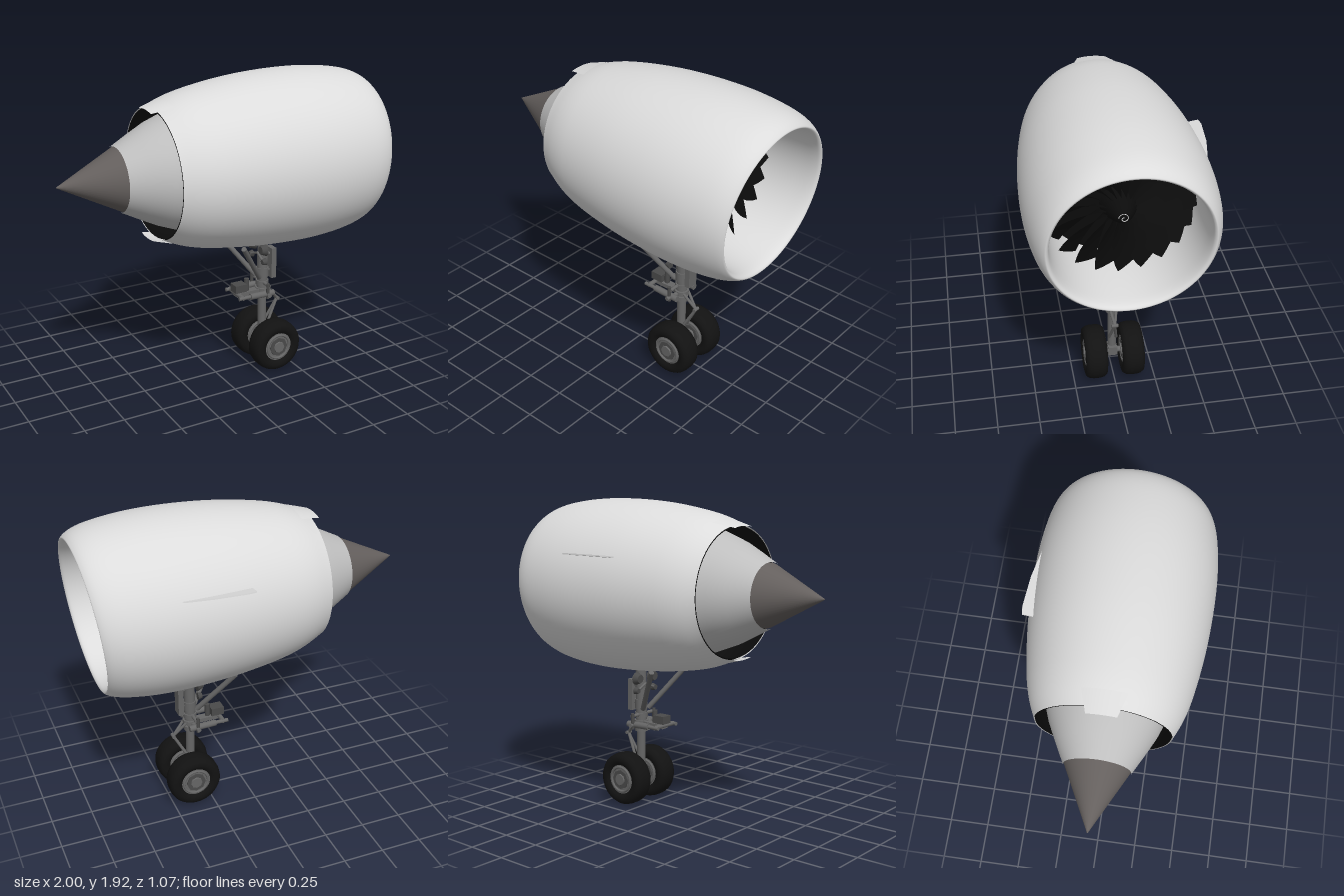
import * as THREE from 'three';

const mat = (name, color, side = THREE.FrontSide) => {
  const m = new THREE.MeshStandardMaterial({ color, side });
  m.name = name;
  return m;
};
const M = {
  white: mat('shell white', 0xdcdcdc, THREE.DoubleSide),
  core: mat('nozzle grey', 0xbebebe),
  cone: mat('exhaust grey', 0x645f5d),
  black: mat('fan black', 0x0b0b0b, THREE.DoubleSide),
  tyre: mat('tyre black', 0x121212),
  gear: mat('gear grey', 0x666666),
  dark: mat('fitting grey', 0x4a4a4a),
};
const V = (x, y, z) => new THREE.Vector3(x, y, z);
const CY = 1.39;

function add(parent, name, geometry, material, pos) {
  const m = new THREE.Mesh(geometry, material);
  m.name = name;
  if (pos) m.position.set(...pos);
  parent.add(m);
  return m;
}

// Skin of circular sections [x, centreY, radius] along x; sections lean forward near the intake
function loft(stations, steps = 0, seg = 72) {
  let s = stations.map((p) => V(...p));
  if (steps) s = new THREE.CatmullRomCurve3(s).getPoints(steps);
  const pos = [], idx = [];
  s.forEach((p, i) => {
    const lean = 0.105 * THREE.MathUtils.smoothstep(p.x, 0.4, 0.92);
    for (let j = 0; j < seg; j++) {
      const a = (j / seg) * Math.PI * 2, dy = p.z * Math.cos(a);
      pos.push(p.x + lean * dy, p.y + dy, p.z * Math.sin(a));
      if (i === s.length - 1) continue;
      const k = (j + 1) % seg, b = i * seg, t = b + seg;
      idx.push(b + j, b + k, t + j, b + k, t + k, t + j);
    }
  });
  const g = new THREE.BufferGeometry();
  g.setAttribute('position', new THREE.Float32BufferAttribute(pos, 3));
  g.setIndex(idx);
  g.computeVertexNormals();
  return g;
}

// Flat grid moved by a rule f(u, v), u and v in 0..1
function warp(nu, nv, f) {
  const g = new THREE.PlaneGeometry(1, 1, nu, nv), p = g.attributes.position;
  for (let i = 0; i < p.count; i++) p.setXYZ(i, ...f(p.getX(i) + 0.5, p.getY(i) + 0.5));
  g.computeVertexNormals();
  return g;
}

// Round bar between two points
function rod(parent, name, a, b, r, material = M.gear, r2 = r, sides = 16) {
  const A = V(...a), d = V(...b).sub(A);
  const m = add(parent, name, new THREE.CylinderGeometry(r2, r, d.length(), sides), material);
  m.position.copy(A).addScaledVector(d, 0.5);
  m.quaternion.setFromUnitVectors(V(0, 1, 0), d.normalize());
  return m;
}

function buildEngine() {
  const g = new THREE.Group();
  g.name = 'engine';

  // outer cowl, rounded lip and intake barrel in one skin
  add(g, 'cowl', loft([
    [-0.41, 1.395, 0.387], [-0.3, 1.392, 0.434], [-0.18, 1.39, 0.468], [0.11, 1.39, 0.513],
    [0.4, 1.388, 0.532], [0.6, 1.386, 0.53], [0.75, 1.382, 0.516], [0.85, 1.378, 0.498],
    [0.91, 1.374, 0.478], [0.94, 1.371, 0.461], [0.953, 1.37, 0.447], [0.945, 1.371, 0.435],
    [0.92, 1.374, 0.427], [0.82, 1.38, 0.42], [0.6, 1.39, 0.418], [0.36, 1.39, 0.418],
  ], 90, 96), M.white);

  // dark bypass duct, core nozzle and exhaust cone
  add(g, 'bypassDuct', loft([[-0.15, CY, 0.3], [-0.15, CY, 0.46], [-0.3, 1.392, 0.424], [-0.41, 1.395, 0.38]]), M.black);
  add(g, 'coreNozzle', loft([[-0.64, 1.397, 0.189], [-0.52, 1.396, 0.251], [-0.41, 1.395, 0.305], [-0.15, CY, 0.4]]), M.core);
  add(g, 'exhaustCone', loft([[-1, 1.405, 0.002], [-0.63, 1.397, 0.187]], 0, 48), M.cone);

  // tabs above and below the nozzle
  for (const s of [1, -1]) {
    add(g, s > 0 ? 'upperTab' : 'lowerTab', warp(10, 3, (u, v) => {
      const a = (u - 0.5) * (0.6 - 0.16 * (1 - v)), r = 0.387 + 0.037 * v;
      return [-0.455 + 0.13 * v, 1.394 + s * r * Math.cos(a), r * Math.sin(a)];
    }), M.white);
  }

  // strake on the far side of the cowl
  const fin = new THREE.Shape([[0.12, -0.03], [0.53, -0.03], [0.53, 0], [0.36, 0.035], [0.17, 0.052], [0.12, 0.045]]
    .map(([x, y]) => new THREE.Vector2(x, y)));
  const finGeo = new THREE.ExtrudeGeometry(fin, { depth: 0.008, bevelEnabled: false });
  const strake = add(g, 'strake', finGeo, M.white, [0, 1.6, -0.485]);
  strake.rotation.x = -Math.PI / 2 + 0.15;

  // fan: twisted overlapping blades before a dark disc
  const fan = new THREE.Group();
  fan.name = 'fan';
  fan.position.y = CY;
  g.add(fan);
  const blade = warp(4, 8, (u, v) => {
    const r = 0.07 + 0.345 * v, c = 2 * u - 1;
    const a = c * (0.3 - 0.11 * v) + 0.15 * v * v;
    return [0.56 - c * (0.075 - 0.01 * v), r * Math.cos(a), r * Math.sin(a)];
  });
  for (let i = 0; i < 20; i++) add(fan, 'blade', blade, M.black).rotation.x = (i / 20) * Math.PI * 2;
  const disc = add(fan, 'fanDisc', new THREE.CircleGeometry(0.42, 64), M.black, [0.4, 0, 0]);
  disc.rotation.y = Math.PI / 2;

  // spinner with its spiral mark
  add(g, 'spinner', loft([[0.55, CY, 0.11], [0.64, CY, 0.075], [0.7, CY, 0.036], [0.72, CY, 0.001]], 12, 32), M.black);
  const spiral = Array.from({ length: 22 }, (_, i) => {
    const a = (i / 21) * 8, r = 0.009 + 0.02 * (i / 21);
    return V(0.724 - r * 0.68, CY + r * Math.cos(a), r * Math.sin(a));
  });
  add(g, 'spinnerSpiral', new THREE.TubeGeometry(new THREE.CatmullRomCurve3(spiral), 60, 0.003, 5), M.white);
  return g;
}

function buildWheel(s) {
  const w = new THREE.Group();
  w.name = s > 0 ? 'frontWheel' : 'rearWheel';
  w.position.set(0.365, 0.168, s * 0.114);
  const half = [[0.09, 0.05], [0.105, 0.063], [0.125, 0.068], [0.148, 0.063], [0.161, 0.045], [0.166, 0.02]];
  const prof = [...half.map(([r, y]) => [r, -y]), ...half.reverse()].map((p) => new THREE.Vector2(...p));
  add(w, 'tyre', new THREE.LatheGeometry(prof, 48).rotateX(Math.PI / 2), M.tyre);
  rod(w, 'rim', [0, 0, -0.052], [0, 0, 0.052], 0.1, M.gear, 0.1, 32);
  for (const f of [1, -1]) {
    add(w, 'rimRing', new THREE.TorusGeometry(0.078, 0.008, 8, 32), M.gear, [0, 0, f * 0.053]);
    rod(w, 'hubPlate', [0, 0, f * 0.045], [0, 0, f * 0.059], 0.062, M.dark, 0.062, 8);
    rod(w, 'hubCap', [0, 0, f * 0.045], [0, 0, f * 0.067], 0.042, M.gear, 0.036, 8);
  }
  return w;
}

function buildGear() {
  const g = new THREE.Group();
  g.name = 'landingGear';
  const X = 0.337;

  // main strut with collars
  rod(g, 'upperStrut', [X, 0.5, 0], [X, 0.9, 0], 0.034);
  rod(g, 'lowerStrut', [X + 0.005, 0.15, 0], [X, 0.52, 0], 0.027);
  for (const [y, h, r] of [[0.475, 0.03, 0.041], [0.52, 0.025, 0.046], [0.565, 0.03, 0.041], [0.635, 0.06, 0.04]])
    rod(g, 'collar', [X, y - h / 2, 0], [X, y + h / 2, 0], r);
  add(g, 'strutFoot', new THREE.BoxGeometry(0.07, 0.06, 0.055), M.gear, [0.352, 0.168, 0]);
  rod(g, 'axle', [0.365, 0.168, -0.12], [0.365, 0.168, 0.12], 0.018);

  // torque link ahead of the strut
  const knee = [0.45, 0.43, 0];
  for (const s of [1, -1]) {
    rod(g, 'upperLink', [0.36, 0.53, s * 0.025], knee, 0.009);
    rod(g, 'lowerLink', [0.365, 0.27, s * 0.022], knee, 0.009);
  }
  rod(g, 'linkPin', [0.45, 0.43, -0.02], [0.45, 0.43, 0.02], 0.011);

  // steering frame behind the strut
  rod(g, 'steeringBar', [0.33, 0.57, -0.1], [0.33, 0.57, 0.1], 0.011);
  rod(g, 'steeringCrossbar', [0.15, 0.52, -0.09], [0.15, 0.52, 0.09], 0.014);
  add(g, 'steeringBlock', new THREE.BoxGeometry(0.08, 0.05, 0.07), M.dark, [0.165, 0.56, 0]);
  add(g, 'steeringArm', new THREE.BoxGeometry(0.2, 0.025, 0.05), M.gear, [0.24, 0.515, 0]);
  rod(g, 'valve', [0.222, 0.53, 0], [0.222, 0.61, 0], 0.016, M.dark);

  for (const s of [1, -1]) {
    rod(g, 'steeringJack', [0.2, 0.52, s * 0.085], [0.37, 0.515, s * 0.085], 0.02);
    rod(g, 'jackRod', [0.12, 0.52, s * 0.085], [0.22, 0.52, s * 0.085], 0.012);
    rod(g, 'jackPivot', [0.32, 0.49, s * 0.1], [0.32, 0.59, s * 0.1], 0.011, M.dark);
    rod(g, 'jackBracket', [X, 0.515, 0], [0.32, 0.515, s * 0.125], 0.013);
    // brace and lamps
    rod(g, 'dragBrace', [0.1, 0.89, s * 0.17], [0.3, 0.61, s * 0.025], 0.016);
    rod(g, 'largeLamp', [0.28, 0.81, s * 0.068], [0.315, 0.81, s * 0.068], 0.026, M.dark, 0.04, 24);
    rod(g, 'smallLamp', [0.285, 0.735, s * 0.08], [0.312, 0.735, s * 0.08], 0.016, M.dark, 0.023, 20);
    rod(g, 'lampArm', [0.3, 0.77, 0], [0.295, 0.735, s * 0.08], 0.008);
    g.add(buildWheel(s));
  }

  // door plate on the front of the strut
  add(g, 'doorPlate', new THREE.BoxGeometry(0.034, 0.2, 0.07), M.gear, [0.402, 0.69, 0]);
  for (const y of [0.64, 0.75]) rod(g, 'doorBracket', [X, y, 0], [0.4, y, 0], 0.012);
  return g;
}

export function createModel() {
  const model = new THREE.Group();
  model.name = 'engineOnLandingGear';
  model.add(buildEngine(), buildGear());
  return model;
}
